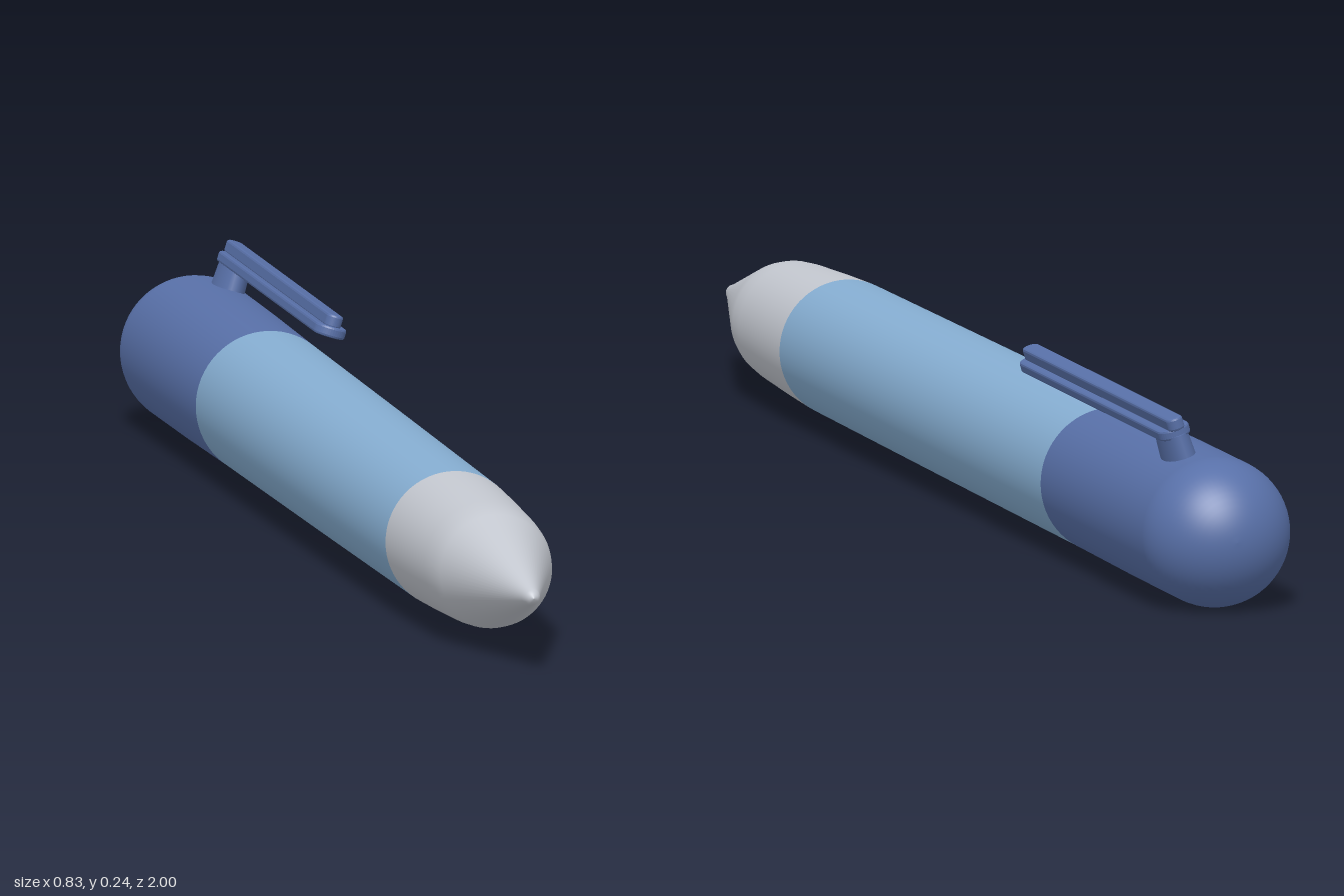
import * as THREE from 'three';

const capBlue = new THREE.MeshStandardMaterial({ name: 'capBlue', color: 0x5870a8 });
const barrelBlue = new THREE.MeshStandardMaterial({ name: 'barrelBlue', color: 0x86aed2 });
const noseGrey = new THREE.MeshStandardMaterial({ name: 'noseGrey', color: 0xc4c8d0 });

// Turned part: profile pairs are [radius, distance along the pen]
function turned(name, profile, material) {
  const pts = profile.map(([r, s]) => new THREE.Vector2(r, s));
  const geo = new THREE.LatheGeometry(pts, 64);
  geo.rotateX(Math.PI / 2);
  const mesh = new THREE.Mesh(geo, material);
  mesh.name = name;
  return mesh;
}

// Long bar with rounded ends, lying along z; y0 is its underside
function bar(name, halfWidth, y0, height, z0, z1) {
  const shape = new THREE.Shape();
  shape.absarc(0, -z0 - halfWidth, halfWidth, 0, Math.PI, false);
  shape.absarc(0, -z1 + halfWidth, halfWidth, Math.PI, Math.PI * 2, false);
  shape.closePath();
  const bevel = 0.003;
  const geo = new THREE.ExtrudeGeometry(shape, {
    depth: height - 2 * bevel, curveSegments: 10,
    bevelSize: bevel, bevelThickness: bevel, bevelOffset: -bevel, bevelSegments: 2,
  });
  geo.rotateX(-Math.PI / 2);
  geo.translate(0, y0 + bevel, 0);
  const mesh = new THREE.Mesh(geo, capBlue);
  mesh.name = name;
  return mesh;
}

export function createModel() {
  const model = new THREE.Group();
  model.name = 'pen';

  // Pen lies along local z, with the centre of its domed end at the origin
  const pen = new THREE.Group();
  pen.name = 'penBody';
  pen.position.set(-0.32, 0.1, -0.903);
  pen.rotation.y = 0.365;
  model.add(pen);

  // Domed cap
  const dome = [];
  for (let i = 0; i <= 16; i++) {
    const a = (i / 16) * Math.PI / 2;
    dome.push([0.097 * Math.sin(a), -0.097 * Math.cos(a)]);
  }
  pen.add(turned('cap', [...dome, [0.0965, 0.2], [0.0945, 0.435]], capBlue));

  // Barrel
  pen.add(turned('barrel', [[0.0945, 0.435], [0.092, 1.0], [0.089, 1.553]], barrelBlue));

  // Nose cone with soft shoulder and rounded point
  pen.add(turned('noseCone', [
    [0.089, 1.553], [0.086, 1.64], [0.081, 1.75], [0.078, 1.785], [0.073, 1.81],
    [0.012, 2.018], [0.010, 2.028], [0.006, 2.035], [0, 2.038],
  ], noseGrey));

  // Pocket clip, rolled sideways round the barrel
  const clip = new THREE.Group();
  clip.name = 'clip';
  clip.rotation.z = -0.3;
  clip.add(bar('clipPlate', 0.021, 0.123, 0.014, 0.03, 0.65));
  clip.add(bar('clipRib', 0.011, 0.135, 0.017, 0.022, 0.645));

  // Foot joining the clip to the cap
  const foot = new THREE.Mesh(new THREE.CylinderGeometry(0.019, 0.021, 0.04, 24), capBlue);
  foot.name = 'clipFoot';
  foot.scale.z = 2;
  foot.position.set(0, 0.107, 0.065);
  clip.add(foot);
  pen.add(clip);

  return model;
}
